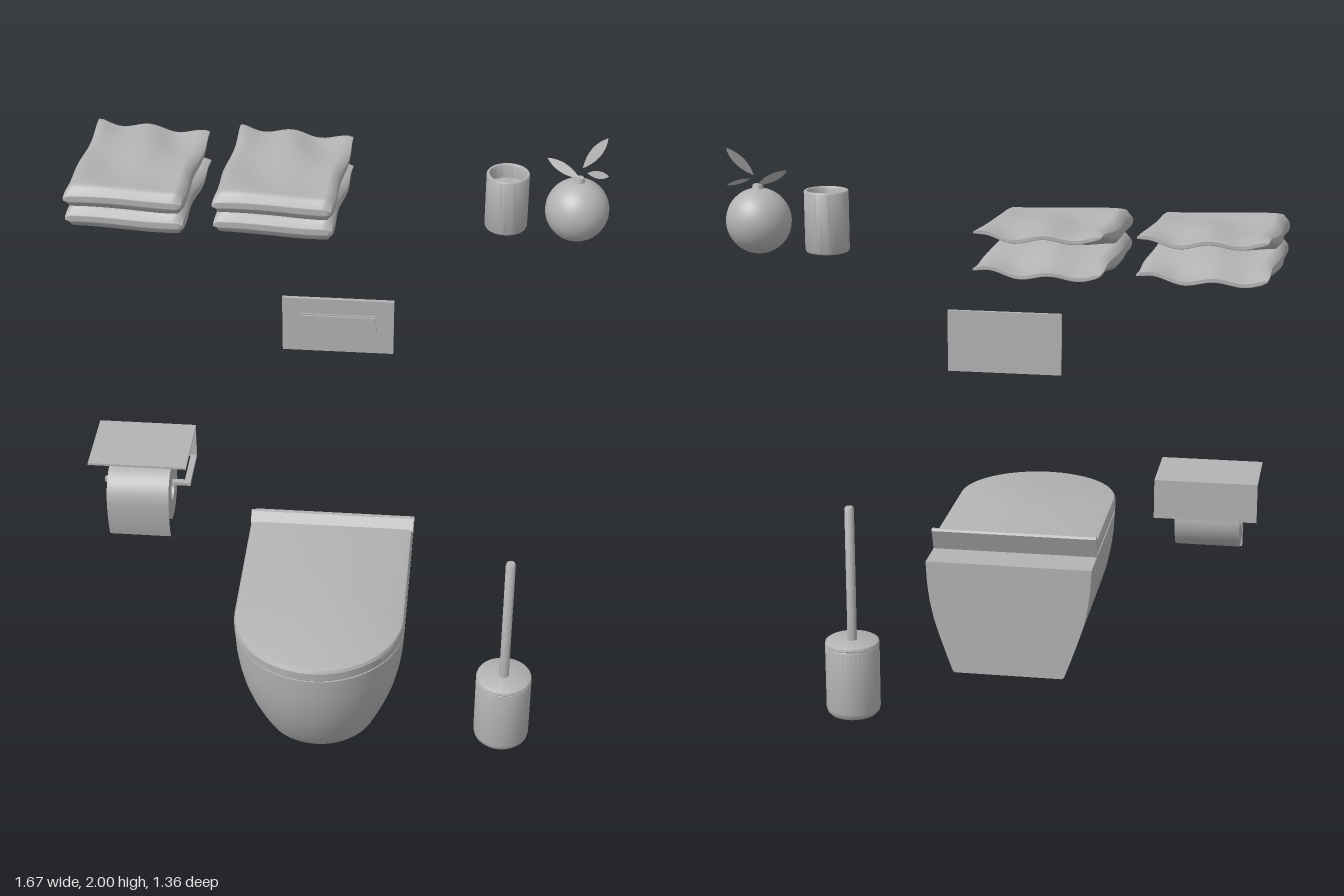
import * as THREE from 'three';
import { toCreasedNormals, mergeVertices } from 'three/addons/utils/BufferGeometryUtils.js';

const grey = new THREE.MeshStandardMaterial({ color: 0xb3b3b3, side: THREE.DoubleSide });
grey.name = 'plain grey';

function add(parent, name, geometry, x = 0, y = 0, z = 0) {
  const mesh = new THREE.Mesh(geometry, grey);
  mesh.name = name;
  mesh.position.set(x, y, z);
  parent.add(mesh);
  return mesh;
}

// Box given by its limits on each axis
function box(parent, name, x0, x1, y0, y1, z0, z1) {
  return add(parent, name, new THREE.BoxGeometry(x1 - x0, y1 - y0, z1 - z0),
    (x0 + x1) / 2, (y0 + y1) / 2, (z0 + z1) / 2);
}

function lathe(points, segments = 40) {
  const profile = points.map(([r, y]) => new THREE.Vector2(r, y));
  return toCreasedNormals(new THREE.LatheGeometry(profile, segments), 0.6);
}

// Loft of D-shaped rings: straight back and sides, rounded front
function loftD(rings, arcSteps = 36) {
  const pos = [], index = [], n = arcSteps + 3;
  for (const { y, w, back, front, arc } of rings) {
    pos.push(w, y, back);
    for (let i = 0; i <= arcSteps; i++) {
      const a = Math.PI * i / arcSteps;
      pos.push(w * Math.cos(a), y, front - arc + arc * Math.sin(a));
    }
    pos.push(-w, y, back);
  }
  for (let j = 0; j < rings.length - 1; j++) {
    for (let i = 0; i < n; i++) {
      const a = j * n + i, b = j * n + (i + 1) % n;
      index.push(a, a + n, b, b, a + n, b + n);
    }
  }
  const last = rings.length - 1, c = rings.length * n;
  for (const r of [rings[0], rings[last]]) pos.push(0, r.y, 0.2);
  for (let i = 0; i < n; i++) {
    const k = (i + 1) % n;
    index.push(c, i, k, c + 1, last * n + k, last * n + i);
  }
  const g = new THREE.BufferGeometry();
  g.setAttribute('position', new THREE.Float32BufferAttribute(pos, 3));
  g.setIndex(index);
  return toCreasedNormals(g, 0.55);
}

function makeToilet() {
  const g = new THREE.Group();
  g.name = 'toilet';
  const body = [[0.30, 0.172, 0.545], [0.305, 0.18, 0.555], [0.36, 0.2, 0.59], [0.42, 0.221, 0.622],
    [0.48, 0.24, 0.645], [0.54, 0.253, 0.661], [0.60, 0.261, 0.671], [0.672, 0.265, 0.677]];
  add(g, 'bowl', loftD(body.map(([y, w, front]) => ({ y, w, front, back: -0.172, arc: w + 0.01 }))));
  const lid = [[0.672, 0.258, 0.672], [0.68, 0.265, 0.68], [0.708, 0.265, 0.682], [0.717, 0.26, 0.677], [0.721, 0.248, 0.665]];
  add(g, 'lid', loftD(lid.map(([y, w, front]) => ({ y, w, front, back: -0.045, arc: w + 0.005 }))));

  // Raised strip along the hinge, leaning backwards
  const lip = new THREE.Shape();
  lip.moveTo(0.03, 0.672);
  lip.lineTo(0.045, 0.672);
  lip.lineTo(0.074, 0.74);
  lip.lineTo(0.07, 0.747);
  lip.lineTo(0.06, 0.747);
  lip.lineTo(0.033, 0.718);
  const strip = new THREE.ExtrudeGeometry(lip, { depth: 0.53, bevelEnabled: false });
  strip.rotateY(Math.PI / 2);
  strip.scale(1, 1, 1);
  add(g, 'hingeStrip', strip, -0.265, 0, 0);
  g.position.x = 0.008;
  return g;
}

function makeFlushPlate() {
  const g = new THREE.Group();
  g.name = 'flushPlate';
  box(g, 'plate', -0.16, 0.19, 1.305, 1.495, -0.192, -0.18);
  box(g, 'buttonSurround', -0.104, 0.137, 1.357, 1.442, -0.18, -0.177);
  box(g, 'largeButton', -0.099, 0.052, 1.362, 1.437, -0.177, -0.172);
  box(g, 'smallButton', 0.058, 0.132, 1.362, 1.437, -0.177, -0.172);
  return g;
}

function makePaperHolder() {
  const g = new THREE.Group();
  g.name = 'paperHolder';
  box(g, 'shelf', -0.765, -0.45, 0.98, 0.987, -0.19, 0.05);
  box(g, 'backPlate', -0.765, -0.45, 0.865, 0.98, -0.19, -0.183);
  box(g, 'arm', -0.47, -0.45, 0.862, 0.872, -0.183, -0.025);
  box(g, 'rod', -0.73, -0.45, 0.859, 0.871, -0.046, -0.028);
  const R = 0.098, r = 0.034, h = 0.1;
  const roll = add(g, 'paperRoll', lathe([[r, -h], [R, -h], [R, h], [r, h], [r, -h]], 48), -0.61, 0.836, -0.037);
  roll.rotation.z = Math.PI / 2;
  // Loose sheet leaving the front of the roll
  const sheet = new THREE.PlaneGeometry(0.2, 0.132, 1, 8);
  const p = sheet.attributes.position;
  for (let i = 0; i < p.count; i++) {
    const t = 0.5 - p.getY(i) / 0.132;
    p.setZ(i, 0.063 - 0.018 * t * t);
  }
  sheet.computeVertexNormals();
  add(g, 'looseSheet', sheet, -0.61, 0.771, 0);
  return g;
}

function makeBrush() {
  const g = new THREE.Group();
  g.name = 'toiletBrush';
  add(g, 'brushPot', lathe([[0, 0], [0.068, 0], [0.08, 0.004], [0.089, 0.014], [0.092, 0.028],
    [0.092, 0.248], [0.09, 0.251], [0.092, 0.254], [0.09, 0.262], [0.084, 0.266], [0, 0.266]]));
  add(g, 'brushHandle', lathe([[0.016, 0.266], [0.016, 0.73], [0.013, 0.736], [0, 0.736]], 20));
  g.position.set(0.594, 0, 0.131);
  return g;
}

function makeCandle() {
  const g = new THREE.Group();
  g.name = 'candle';
  add(g, 'candleCup', lathe([[0, 0], [0.056, 0], [0.063, 0.003], [0.066, 0.01], [0.066, 0.182], [0.064, 0.185],
    [0.058, 0.185], [0.056, 0.182], [0.056, 0.14], [0, 0.14]]));
  const wick = add(g, 'wick', new THREE.CylinderGeometry(0.002, 0.002, 0.035, 6), 0.004, 0.156, -0.004);
  wick.rotation.set(-0.4, 0, -0.4);
  g.position.set(0.522, 1.695, -0.335);
  return g;
}

// Pointed leaf from base to tip, facing roughly along the given direction
function addLeaf(parent, base, tip, width, facing) {
  const a = new THREE.Vector3(...base), dir = new THREE.Vector3(...tip).sub(a), length = dir.length();
  const s = new THREE.Shape();
  s.moveTo(0, 0);
  s.quadraticCurveTo(width, length * 0.55, 0, length);
  s.quadraticCurveTo(-width, length * 0.55, 0, 0);
  const leaf = add(parent, 'leaf', new THREE.ShapeGeometry(s, 10), ...base);
  dir.normalize();
  const side = dir.clone().cross(new THREE.Vector3(...facing)).normalize();
  leaf.quaternion.setFromRotationMatrix(new THREE.Matrix4().makeBasis(side, dir, side.clone().cross(dir)));
}

function makeFruit() {
  const g = new THREE.Group();
  g.name = 'fruit';
  add(g, 'fruitBody', new THREE.SphereGeometry(0.098, 36, 24));
  add(g, 'stem', new THREE.CylinderGeometry(0.014, 0.02, 0.02, 10), 0, 0.1, 0);
  addLeaf(g, [0.003, 0.105, 0], [-0.1, 0.158, -0.028], 0.03, [0.1, 0.6, 0.8]);
  addLeaf(g, [0.008, 0.137, -0.008], [0.08, 0.223, -0.045], 0.034, [0, 0.4, 1]);
  addLeaf(g, [0.022, 0.125, 0], [0.09, 0.107, -0.02], 0.026, [0.2, 0.8, 0.6]);
  g.position.set(0.737, 1.777, -0.312);
  return g;
}

// One folded layer: thick round fold in front, thin wavy edge at the back
function towelLayer(midFront, midBack, phase) {
  let g = new THREE.BoxGeometry(1, 1, 1, 24, 6, 30);
  g.deleteAttribute('normal');
  g.deleteAttribute('uv');
  g = mergeVertices(g);
  const p = g.attributes.position;
  for (let i = 0; i < p.count; i++) {
    const u = p.getX(i) + 0.5, v = p.getY(i) * 2, s = 0.5 - p.getZ(i);
    const back = THREE.MathUtils.smoothstep(s, 0.3, 1);
    const edge = Math.min(u, 1 - u);
    const round = 0.45 + 0.55 * Math.sqrt(1 - (1 - Math.min(edge / 0.06, 1)) ** 2);
    const fold = Math.sqrt(1 - (1 - Math.min((s + 0.004) / 0.07, 1)) ** 2);
    const half = (0.036 - 0.03 * back) * round * fold;
    const wave = 0.008 * s * Math.sin(u * 13 + phase + s * 2) + 0.004 * Math.sin(u * 5 + s * 8 + phase);
    const x = -0.835 + 0.366 * u + 0.04 * s + 0.004 * Math.sin(s * 11 + phase);
    const z = -0.21 + 0.012 * u - s * (0.465 - 0.035 * u) + 0.007 * s * Math.sin(u * 9 + phase);
    p.setXYZ(i, x, THREE.MathUtils.lerp(midFront, midBack, back) + wave + v * half, z);
  }
  g.computeVertexNormals();
  return g;
}

function makeTowels() {
  const g = new THREE.Group();
  g.name = 'foldedTowels';
  add(g, 'lowerFold', towelLayer(1.725, 1.718, 0.6));
  add(g, 'upperFold', towelLayer(1.794, 1.82, 0));
  return g;
}

export function createModel() {
  const model = new THREE.Group();
  model.name = 'bathroomSet';
  model.add(makeToilet(), makeFlushPlate(), makePaperHolder(), makeBrush(), makeCandle(), makeFruit());
  for (const x of [0, 0.46]) {
    const towels = makeTowels();
    towels.position.x = x;
    model.add(towels);
  }
  return model;
}
